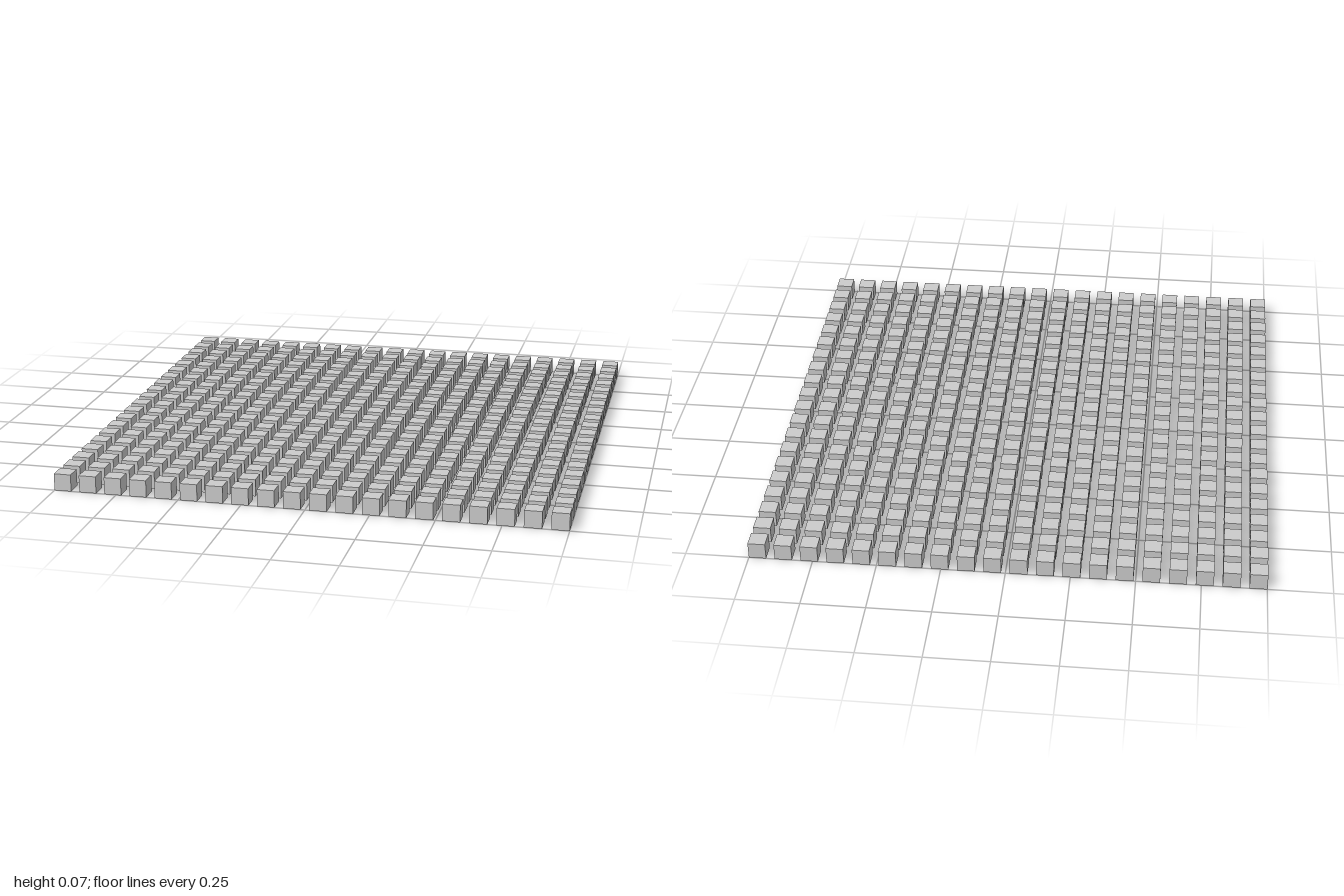
import * as THREE from 'three';

const COUNT = 20;                        // cubes per side
const PITCH = 2 / (COUNT - 1 + 2 / 3);   // spacing, so the grid spans 2 units
const SIZE = PITCH * 2 / 3;              // cube edge; gaps are half a cube

export function createModel() {
  const model = new THREE.Group();
  model.name = 'cubeGrid';
  const material = new THREE.MeshStandardMaterial({ color: 0xcccccc });
  const geometry = new THREE.BoxGeometry(SIZE, SIZE, SIZE);
  const offset = (i) => (i - (COUNT - 1) / 2) * PITCH;

  // Rows from back to front, each a line of separate cubes
  for (let r = 0; r < COUNT; r++) {
    const row = new THREE.Group();
    row.name = `row${r + 1}`;
    row.position.set(0, SIZE / 2, offset(r));
    for (let c = 0; c < COUNT; c++) {
      const cube = new THREE.Mesh(geometry, material);
      cube.name = `cube${c + 1}`;
      cube.position.x = offset(c);
      row.add(cube);
    }
    model.add(row);
  }
  return model;
}
